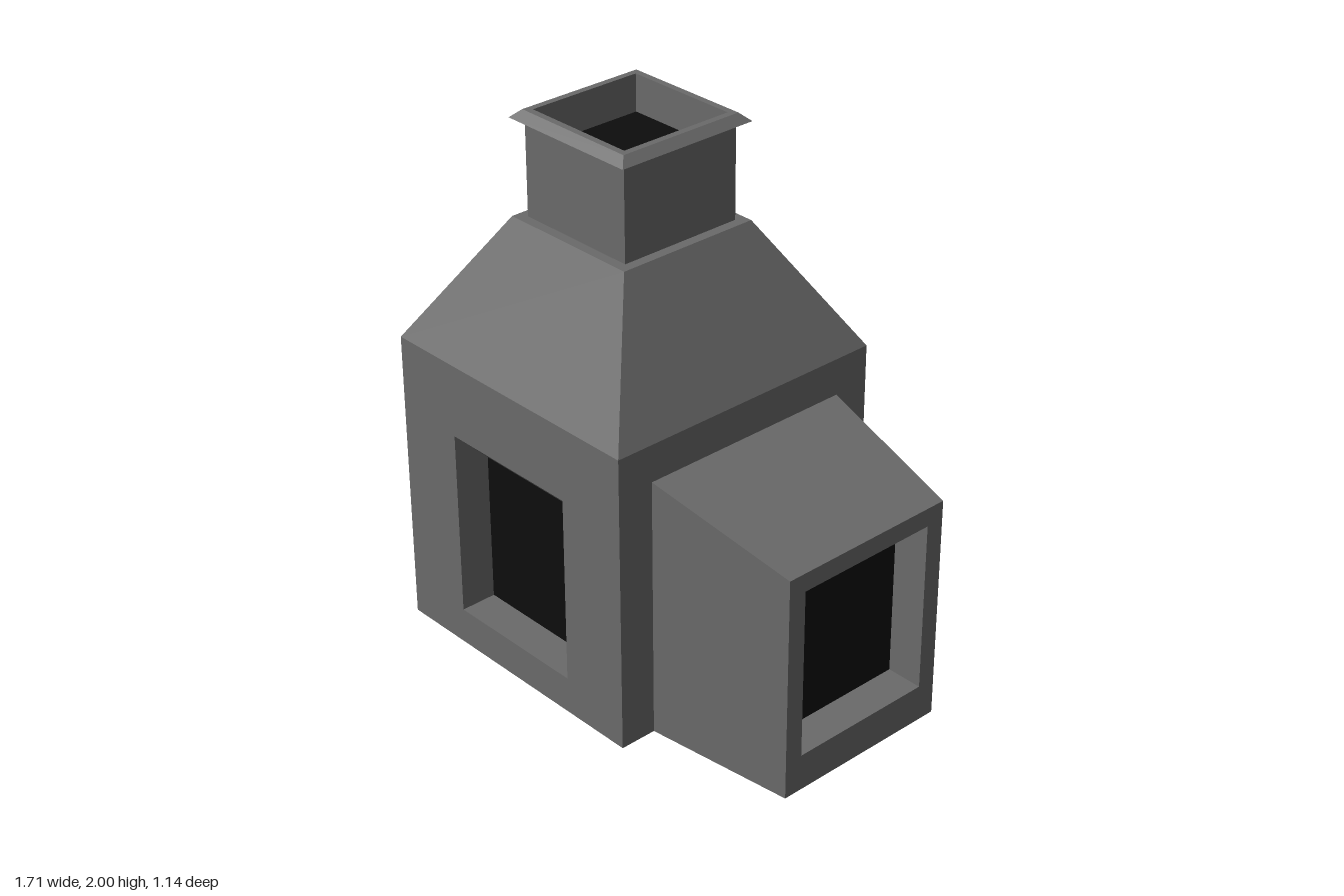
import * as THREE from 'three';

const CX = -0.285; // centre of the main body along x

// Corner loops, counter-clockwise seen from the side they face
const square = (h, y) => [[CX - h, y, h], [CX + h, y, h], [CX + h, y, -h], [CX - h, y, -h]];
const frontRect = (x0, x1, y0, y1, z) => [[x0, y0, z], [x1, y0, z], [x1, y1, z], [x0, y1, z]];
const sideRect = (h, y0, y1, x) => [[x, y0, h], [x, y0, -h], [x, y1, -h], [x, y1, h]];

// Quads joining each loop to the next
function loft(...loops) {
  const quads = [];
  for (let k = 0; k + 1 < loops.length; k++) {
    const a = loops[k], b = loops[k + 1];
    for (let i = 0; i < 4; i++) {
      const j = (i + 1) % 4;
      quads.push([a[i], a[j], b[j], b[i]]);
    }
  }
  return quads;
}

function quadMesh(name, material, quads) {
  const pos = quads.flatMap(([a, b, c, d]) => [a, b, c, a, c, d].flat());
  const geo = new THREE.BufferGeometry();
  geo.setAttribute('position', new THREE.Float32BufferAttribute(pos, 3));
  geo.computeVertexNormals();
  const mesh = new THREE.Mesh(geo, material);
  mesh.name = name;
  return mesh;
}

export function createModel() {
  const stone = new THREE.MeshStandardMaterial({ color: 0x6a6a6a });
  stone.name = 'grey stone';
  const soot = new THREE.MeshStandardMaterial({ color: 0x0d0d0d });
  soot.name = 'soot black';
  const group = new THREE.Group();
  group.name = 'furnace';

  // Main body: back and side walls plus the floor
  const base = square(0.57, 0), shoulder = square(0.57, 1.14);
  const walls = loft(base, shoulder).slice(1);
  group.add(quadMesh('body', stone, [...walls, [...base].reverse()]));

  // Front wall with a recessed opening whose lintel slopes inwards
  const frontBack = frontRect(-0.575, 0, 0.14, 0.72, 0.43);
  group.add(quadMesh('frontWall', stone, loft(
    frontRect(CX - 0.57, CX + 0.57, 0, 1.14, 0.57),
    frontRect(-0.575, 0, 0.14, 0.86, 0.57),
    frontBack)));
  group.add(quadMesh('frontOpening', soot, [frontBack]));

  // Tapered hood
  const hoodTop = square(0.285, 1.61);
  group.add(quadMesh('hood', stone, loft(shoulder, hoodTop, square(0.247, 1.61))));

  // Chimney with flared rim and inner flue walls
  const flueFloor = square(0.227, 1.86);
  group.add(quadMesh('chimney', stone, loft(
    square(0.247, 1.61), square(0.247, 1.97), square(0.285, 1.97),
    square(0.252, 2), square(0.227, 2), flueFloor)));
  group.add(quadMesh('flueOpening', soot, [flueFloor]));

  // Side chamber narrowing outwards, with its own recessed opening
  const sideBack = sideRect(0.285, 0.14, 0.72, 0.715);
  group.add(quadMesh('sideChamber', stone, loft(
    sideRect(0.427, 0, 1, 0.285), sideRect(0.356, 0, 0.86, 0.855),
    sideRect(0.285, 0.14, 0.79, 0.855), sideBack)));
  group.add(quadMesh('sideOpening', soot, [sideBack]));

  return group;
}
